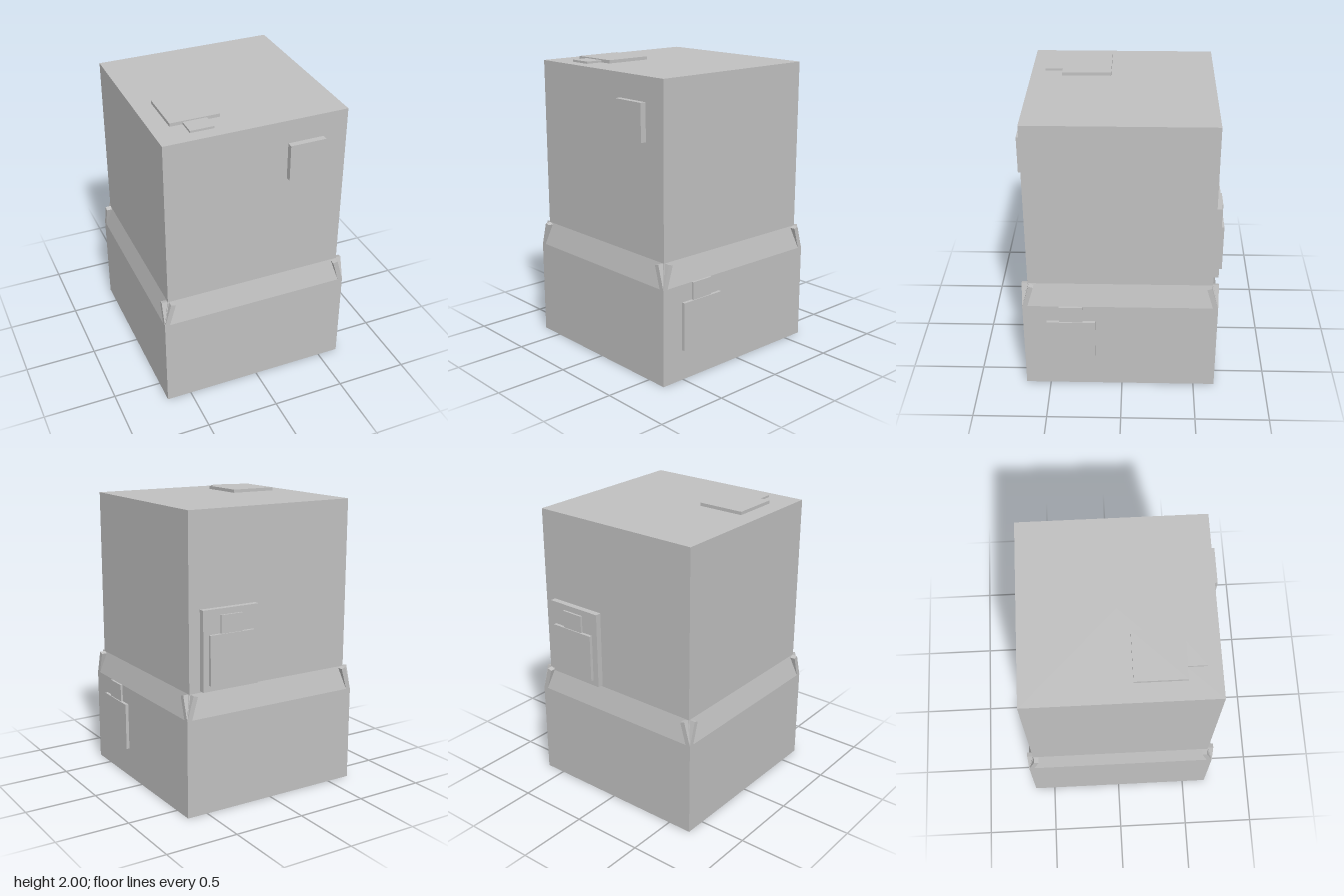
import * as THREE from 'three';

export function createModel() {
  const model = new THREE.Group();
  model.name = 'steppedBlock';
  const grey = new THREE.MeshStandardMaterial({ color: 0xc0c0c0, flatShading: true });
  grey.name = 'grey';

  const add = (parent, name, geometry, x = 0, y = 0, z = 0) => {
    const mesh = new THREE.Mesh(geometry, grey);
    mesh.name = name;
    mesh.position.set(x, y, z);
    parent.add(mesh);
    return mesh;
  };

  // Square tower: wide base, sloped shoulder, narrower top
  const tower = new THREE.Group();
  tower.name = 'tower';
  tower.position.set(-0.0125, 0, 0.0125);
  model.add(tower);
  const profile = [[0, 0], [0.6575, 0], [0.6575, 0.66], [0.6175, 0.82], [0.6175, 1.98], [0, 1.98]]
    .map(([half, y]) => new THREE.Vector2(half * Math.SQRT2, y));
  add(tower, 'body', new THREE.LatheGeometry(profile, 4, Math.PI / 4));

  // Pairs of leaning prongs at each shoulder corner
  const prong = (side) => {
    const shape = new THREE.Shape(
      [[0.61, 0.82], [0.578, 0.81], [0.622, 0.66], [0.656, 0.66]]
        .map(([x, y]) => new THREE.Vector2(x * side, y)));
    return new THREE.ExtrudeGeometry(shape, { depth: 0.0475, bevelEnabled: false });
  };
  for (let i = 0; i < 4; i++) {
    const face = new THREE.Group();
    face.name = 'shoulderProngs';
    face.rotation.y = i * Math.PI / 2;
    tower.add(face);
    for (const side of [-1, 1]) add(face, 'prong', prong(side), 0, 0, 0.61);
  }

  // Tabbed plates, built facing +z with the tab upward
  const tabbedPlate = (name, position, rotation) => {
    const group = new THREE.Group();
    group.name = name;
    group.position.set(...position);
    group.rotation.set(...rotation);
    add(group, 'plate', new THREE.BoxGeometry(0.33, 0.33, 0.03), 0, 0, 0.007);
    add(group, 'tab', new THREE.BoxGeometry(0.16, 0.12, 0.025), 0, 0.225, 0.002);
    model.add(group);
  };
  tabbedPlate('topPlate', [-0.34, 1.98, 0.255], [-Math.PI / 2, 0, Math.PI]);
  tabbedPlate('sidePlate', [0.645, 0.375, 0.345], [0, Math.PI / 2, 0]);
  tabbedPlate('backPlate', [0.32, 1.035, -0.646], [0, Math.PI, 0]);

  // Backing panel behind the rear plate, and the square front panel
  add(model, 'backPanel', new THREE.BoxGeometry(0.415, 0.53, 0.05), 0.318, 1.095, -0.621);
  add(model, 'frontPanel', new THREE.BoxGeometry(0.245, 0.25, 0.05), 0.318, 1.695, 0.645);

  return model;
}
